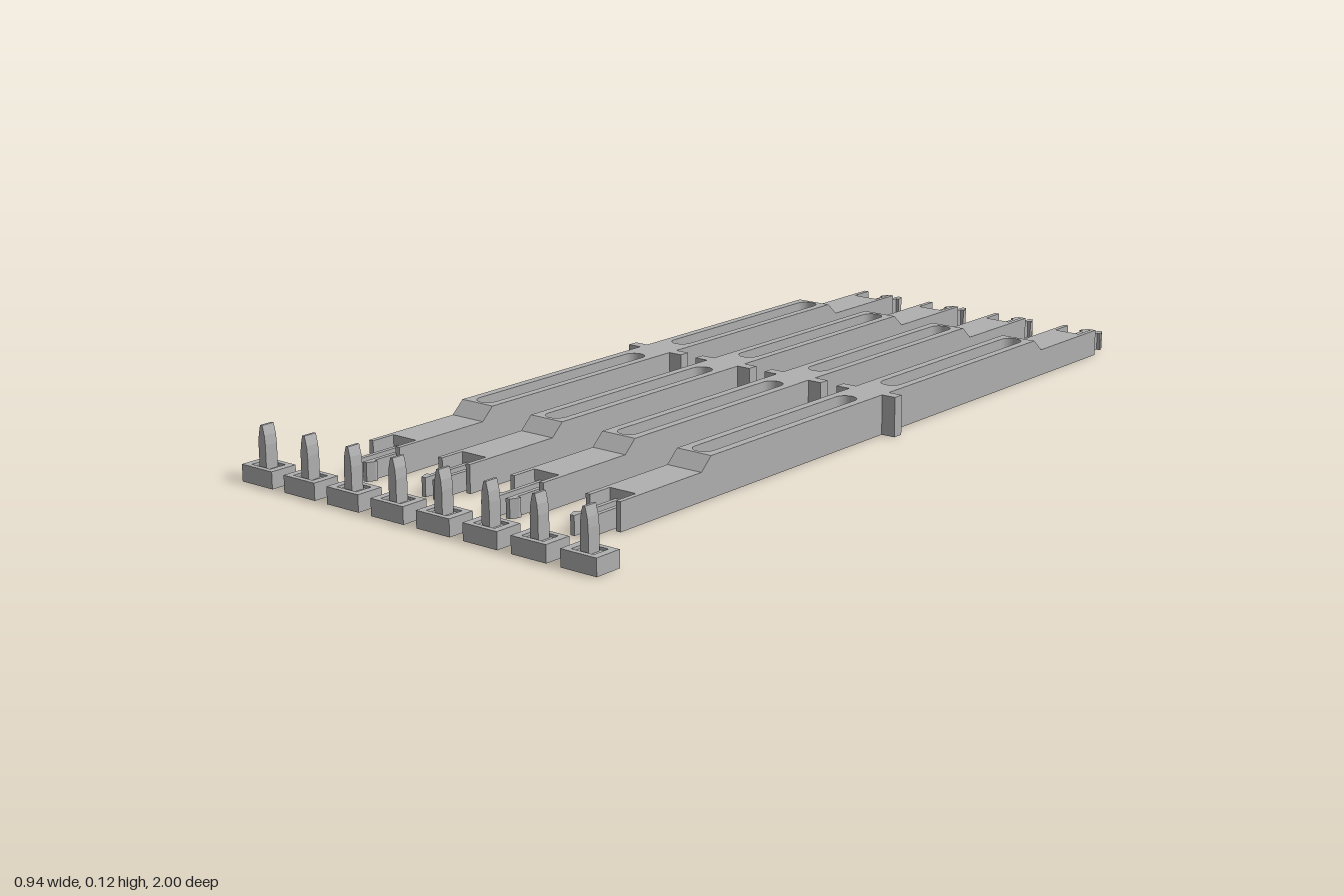
import * as THREE from 'three';

const grey = new THREE.MeshStandardMaterial({ color: 0xb0b0b0 });
grey.name = 'grey plastic';

function add(parent, name, geometry, x = 0, y = 0, z = 0) {
  const mesh = new THREE.Mesh(geometry, grey);
  mesh.name = name;
  mesh.position.set(x, y, z);
  parent.add(mesh);
  return mesh;
}

const polygon = (pts) => new THREE.Shape(pts.map(([a, b]) => new THREE.Vector2(a, b)));

// Plan outline in [x, z], raised upwards from y = 0
function raise(shape, height) {
  return new THREE.ExtrudeGeometry(shape, { depth: height, bevelEnabled: false, curveSegments: 10 })
    .rotateX(Math.PI / 2).translate(0, height, 0);
}

// Side profile in [z, y], extruded across x and centred
function across(pts, width) {
  return new THREE.ExtrudeGeometry(polygon(pts), { depth: width, bevelEnabled: false })
    .rotateY(-Math.PI / 2).translate(width / 2, 0, 0);
}

const HALF = 0.043;   // half width of a bar
const TALL = 0.087, LOW = 0.06, PRONG = 0.04;

// Slotted middle of the bar, with the cross arms in its outline
function middleGeometry() {
  const L = 0.585, A = 0.076, t = 0.0125;
  const plan = polygon([
    [-HALF, -L], [HALF, -L], [HALF, -t], [A, -t], [A, t], [HALF, t],
    [HALF, L], [-HALF, L], [-HALF, t], [-A, t], [-A, -t], [-HALF, -t],
  ]);
  const r = 0.024;
  for (const s of [-1, 1]) {
    const a = s > 0 ? 0.061 : -0.576, b = s > 0 ? 0.576 : -0.061;
    const slot = new THREE.Path();
    slot.absarc(0, a + r, r, Math.PI, Math.PI * 2, false);
    slot.absarc(0, b - r, r, 0, Math.PI, false);
    slot.closePath();
    plan.holes.push(slot);
  }
  return raise(plan, TALL);
}

// Ramp, low end block, fork cheeks and barbed snap prongs
function makeEnd() {
  const end = new THREE.Group();
  add(end, 'rampedEnd', across(
    [[0.585, 0], [0.798, 0], [0.798, LOW], [0.615, LOW], [0.585, TALL]], HALF * 2));
  for (const s of [-1, 1]) {
    add(end, 'forkCheek', new THREE.BoxGeometry(0.011, LOW, 0.057), s * (HALF - 0.0055), LOW / 2, 0.8265);
    const prong = polygon([
      [0.010, 0.798], [0.020, 0.798], [0.020, 0.902], [0.028, 0.902],
      [0.028, 0.908], [0.020, 0.925], [0.010, 0.925],
    ].map(([x, z]) => [s * x, z]));
    add(end, 'snapProng', raise(prong, PRONG));
  }
  return end;
}

function makeBar() {
  const bar = new THREE.Group();
  bar.name = 'bar';
  add(bar, 'slottedBeam', middleGeometry());
  const front = makeEnd(), back = makeEnd();
  front.name = 'frontEnd';
  back.name = 'backEnd';
  back.rotation.y = Math.PI;
  bar.add(front, back);
  return bar;
}

// Small block with a shallow top recess and a pointed pin
function makePeg() {
  const peg = new THREE.Group();
  peg.name = 'peg';
  const W = 0.0435, D = 0.0315, H = 0.036, lip = 0.006;
  add(peg, 'pegBase', new THREE.BoxGeometry(W * 2, H - lip, D * 2), 0, (H - lip) / 2, 0);
  const rim = polygon([[-W, -D], [W, -D], [W, D], [-W, D]]);
  const w = 0.027, d = 0.02;
  rim.holes.push(new THREE.Path([[-w, -d], [-w, d], [w, d], [w, -d]].map(([x, z]) => new THREE.Vector2(x, z))));
  add(peg, 'pegRim', raise(rim, lip), 0, H - lip, 0);
  const pin = polygon([
    [-0.010, H - lip], [0.010, H - lip], [0.010, 0.08], [0.008, 0.1], [0.003, 0.12],
    [-0.003, 0.12], [-0.008, 0.1], [-0.010, 0.08],
  ]);
  add(peg, 'pegPin', new THREE.ExtrudeGeometry(pin, { depth: 0.03, bevelEnabled: false }).translate(0, 0, -0.015));
  return peg;
}

export function createModel() {
  const model = new THREE.Group();
  model.name = 'barAndPegSet';
  for (let i = 0; i < 4; i++) {
    const bar = makeBar();
    bar.position.set((i - 1.5) * 0.194, 0, -0.075);
    model.add(bar);
  }
  for (let i = 0; i < 8; i++) {
    const peg = makePeg();
    peg.position.set((i - 3.5) * 0.1213, 0, 0.9685);
    model.add(peg);
  }
  return model;
}
